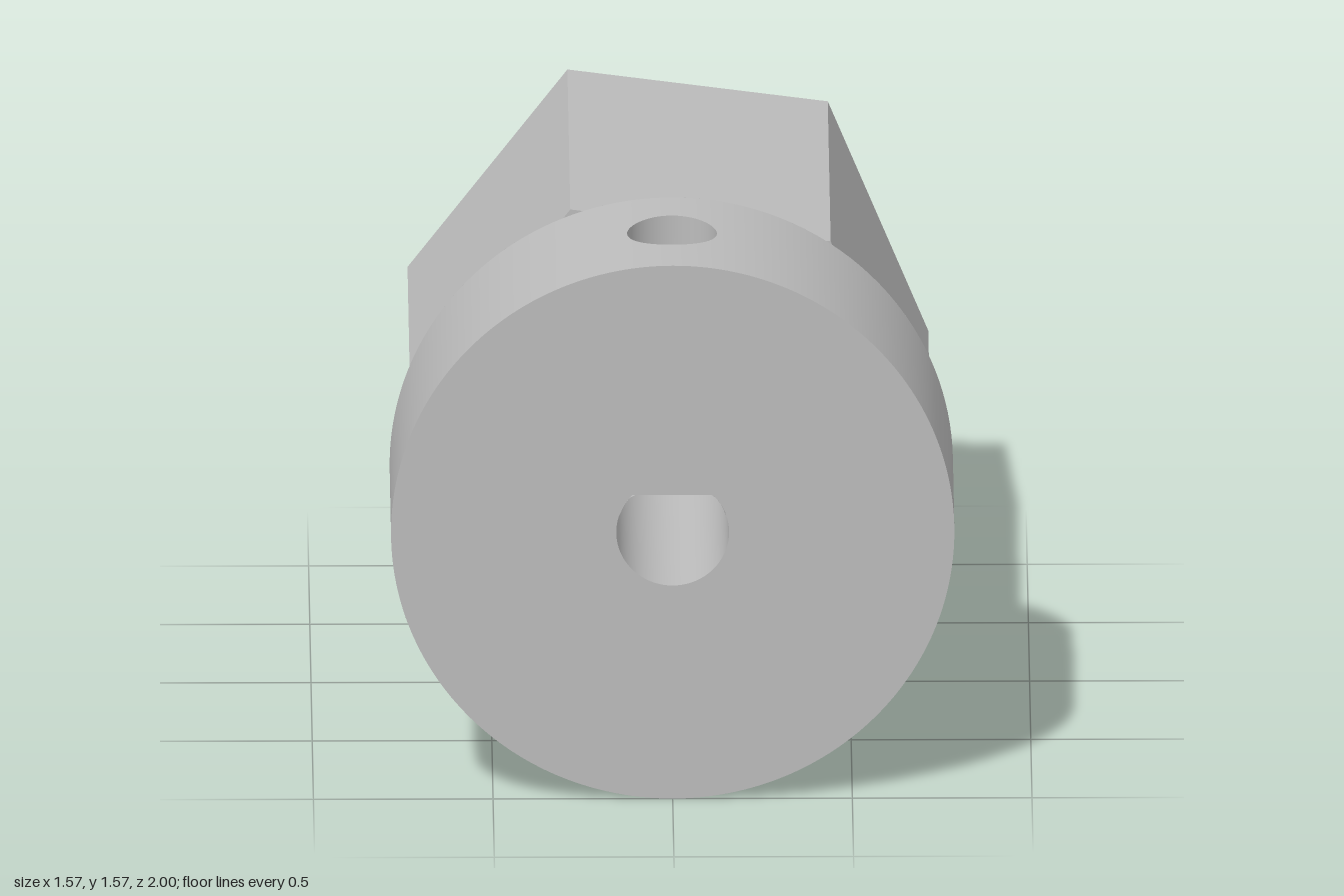
import * as THREE from 'three';

const CY = 0.784;                       // height of the shaft axis
const R = 0.784, NECK_R = 0.63, HEX_R = 0.731, BORE_R = 0.157, FLAT = 0.109;
const BACK = -1, HEX_END = 0.2, NECK_END = 0.415, FRONT = 1;
const HOLE_R = 0.125, HOLE_Z = 0.695;   // radial set-screw hole

// Height above the axis of the collar surface and of the D-shaped bore
const outerY = (x) => Math.sqrt(R * R - x * x);
const boreY = (x) => Math.min(FLAT, Math.sqrt(BORE_R * BORE_R - x * x));

// Closed ring of vertices per row; point(row, column) gives a position
function ringGrid(rows, cols, point, normal) {
  const pos = [], nor = [], idx = [];
  for (let j = 0; j <= rows; j++) {
    for (let k = 0; k < cols; k++) {
      const p = point(j / rows, k);
      pos.push(p.x, p.y, p.z);
      if (normal) nor.push(...normal(p).normalize().toArray());
      if (j === rows) continue;
      const a = j * cols + k, b = j * cols + (k + 1) % cols;
      idx.push(a, b, a + cols, b, b + cols, a + cols);
    }
  }
  const g = new THREE.BufferGeometry();
  g.setAttribute('position', new THREE.Float32BufferAttribute(pos, 3));
  g.setIndex(idx);
  if (normal) g.setAttribute('normal', new THREE.Float32BufferAttribute(nor, 3));
  else g.computeVertexNormals();
  return g;
}

// Points walked round a square, and the same directions on the screw hole
const N = 20, SIDES = 4 * N;
function squarePoint(k) {
  const t = (k % N) / N * 2 - 1;
  return [[t, -1], [1, t], [-t, 1], [-1, -t]][Math.floor(k / N)];
}
function holePoint(k) {
  const [u, v] = squarePoint(k), l = Math.hypot(u, v);
  return [u / l * HOLE_R, v / l * HOLE_R];
}

// Curved rectangle pierced by the screw hole
function piercedPatch(heightAt, halfWidth, z0, z1, normal) {
  return ringGrid(14, SIDES, (t, k) => {
    const [u, v] = squarePoint(k), [hx, hz] = holePoint(k);
    const x = THREE.MathUtils.lerp(hx, u * halfWidth, t);
    const z = THREE.MathUtils.lerp(HOLE_Z + hz, v < 0
      ? HOLE_Z + v * (HOLE_Z - z0) : HOLE_Z + v * (z1 - HOLE_Z), t);
    return new THREE.Vector3(x, heightAt(x), z);
  }, normal);
}

// Open cylinder wall along z, leaving a gap of +-gap radians at the top
function wall(r, z0, z1, gap = 0) {
  const g = new THREE.CylinderGeometry(r, r, z1 - z0, 128, 1, true, gap, Math.PI * 2 - 2 * gap);
  return g.rotateX(-Math.PI / 2).translate(0, 0, (z0 + z1) / 2);
}

function disc(r) {
  return new THREE.Shape().absarc(0, 0, r, 0, Math.PI * 2, false);
}

export function createModel() {
  const group = new THREE.Group();
  group.position.y = CY;
  const metal = new THREE.MeshStandardMaterial({ color: 0xbcbcbc, side: THREE.DoubleSide });
  metal.name = 'plain grey metal';
  const add = (name, geometry) => {
    const mesh = new THREE.Mesh(geometry, metal);
    mesh.name = name;
    group.add(mesh);
  };

  // Collar: wall, pierced top, front face with D opening, rear shoulder
  const w = 0.3;
  add('collarWall', wall(R, NECK_END, FRONT, Math.asin(w / R)));
  add('collarTop', piercedPatch(outerY, w, NECK_END, FRONT,
    (p) => new THREE.Vector3(p.x, p.y, 0)));
  const a = Math.asin(FLAT / BORE_R);
  const face = disc(R);
  face.holes.push(new THREE.Path().absarc(0, 0, BORE_R, Math.PI - a, Math.PI * 2 + a, false));
  add('collarFace', new THREE.ShapeGeometry(face, 96).translate(0, 0, FRONT));
  add('collarShoulder', new THREE.RingGeometry(NECK_R, R, 128).rotateY(Math.PI)
    .translate(0, 0, NECK_END));

  // Neck
  add('neck', wall(NECK_R, HEX_END, NECK_END));

  // Set-screw hole running from the collar into the bore
  add('screwHole', ringGrid(2, SIDES, (t, k) => {
    const [x, z] = holePoint(k);
    return new THREE.Vector3(x, THREE.MathUtils.lerp(outerY(x), boreY(x), t), HOLE_Z + z);
  }));

  // D-shaped bore
  const bw = 0.15;
  add('boreWall', wall(BORE_R, HEX_END, FRONT, Math.asin(bw / BORE_R)));
  add('boreFlat', piercedPatch(boreY, bw, HEX_END, FRONT, (p) =>
    (p.y >= FLAT ? new THREE.Vector3(0, 1, 0) : new THREE.Vector3(p.x, p.y, 0))));
  const step = new THREE.Shape().absarc(0, 0, BORE_R, a, Math.PI - a, false);
  add('boreStep', new THREE.ShapeGeometry(step, 24).rotateY(Math.PI).translate(0, 0, HEX_END));

  // Hexagonal shank with a round bore
  const hex = new THREE.Shape();
  for (let i = 0; i < 6; i++) {
    const t = THREE.MathUtils.degToRad(-7.5 + 60 * i);
    hex[i ? 'lineTo' : 'moveTo'](HEX_R * Math.cos(t), HEX_R * Math.sin(t));
  }
  hex.closePath();
  hex.holes.push(disc(BORE_R));
  add('hexShank', new THREE.ExtrudeGeometry(hex, {
    depth: HEX_END - BACK, bevelEnabled: false, curveSegments: 64,
  }).translate(0, 0, BACK));

  const model = new THREE.Group();
  model.name = 'hexCoupling';
  model.add(group);
  group.name = 'couplingBody';
  return model;
}
